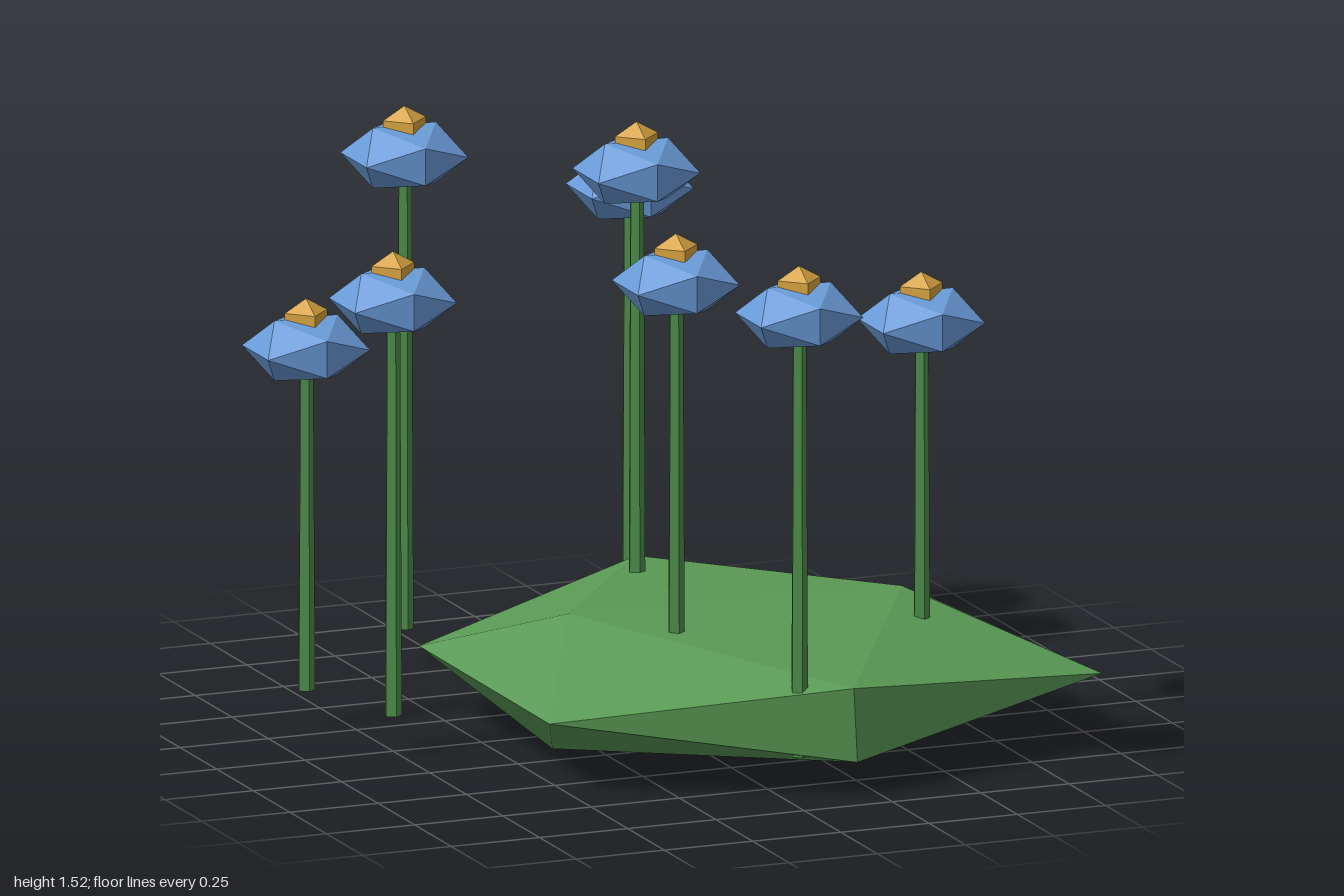
import * as THREE from 'three';
import { ConvexGeometry } from 'three/addons/geometries/ConvexGeometry.js';

const flat = (name, color) => new THREE.MeshStandardMaterial({ name, color, flatShading: true });

// x, z and top height of each flower
const FLOWERS = [
  [-0.37, -0.84, 1.51], [0.225, -0.735, 1.393], [0.105, -0.4, 1.524], [-0.86, -0.33, 1.156],
  [-0.755, 0.01, 1.352], [-0.09, 0.34, 1.413], [0.605, 0.34, 1.243], [0.06, 0.82, 1.423],
];
const STEM_FOOT = 0.1;

export function createModel() {
  const model = new THREE.Group();
  model.name = 'flowerPatch';
  const grass = flat('grassGreen', 0x5a9a55);
  const stemGreen = flat('stemGreen', 0x4f8f4c);
  const petalBlue = flat('petalBlue', 0x6a9bd8);
  const gold = flat('centreGold', 0xd9a441);

  // Mound: a squashed, slightly uneven twenty-sided block
  const corners = [
    [-0.31, 0.36, 0.135], [0.635, 0.345, 0.135], [-0.355, 0.0, 0.135], [0.7, 0.01, 0.135],
    [0.19, 0.09, 0.905], [0.18, 0.29, 0.905], [0.2, 0.09, -0.67], [0.2, 0.29, -0.63],
    [0.89, 0.19, -0.31], [0.995, 0.19, 0.635], [-0.545, 0.19, -0.32], [-0.55, 0.19, 0.585],
  ].map((c) => new THREE.Vector3(...c));
  const mound = new THREE.Mesh(new ConvexGeometry(corners), grass);
  mound.name = 'mound';
  model.add(mound);

  // Shared flower shapes
  const petals = new THREE.IcosahedronGeometry(0.17, 0).scale(1, 0.56, 1);
  const centre = new THREE.SphereGeometry(0.07, 4, 3);

  FLOWERS.forEach(([x, z, top]) => {
    const flower = new THREE.Group();
    flower.name = 'flower';
    flower.position.set(x, 0, z);
    const headY = top - 0.133;

    const height = headY - STEM_FOOT;
    const stem = new THREE.Mesh(new THREE.CylinderGeometry(0.019, 0.024, height, 5), stemGreen);
    stem.name = 'stem';
    stem.position.y = STEM_FOOT + height / 2;

    const head = new THREE.Mesh(petals, petalBlue);
    head.name = 'flowerHead';
    head.position.y = headY;

    const eye = new THREE.Mesh(centre, gold);
    eye.name = 'flowerCentre';
    eye.position.y = top - 0.07;

    flower.add(stem, head, eye);
    model.add(flower);
  });
  return model;
}
